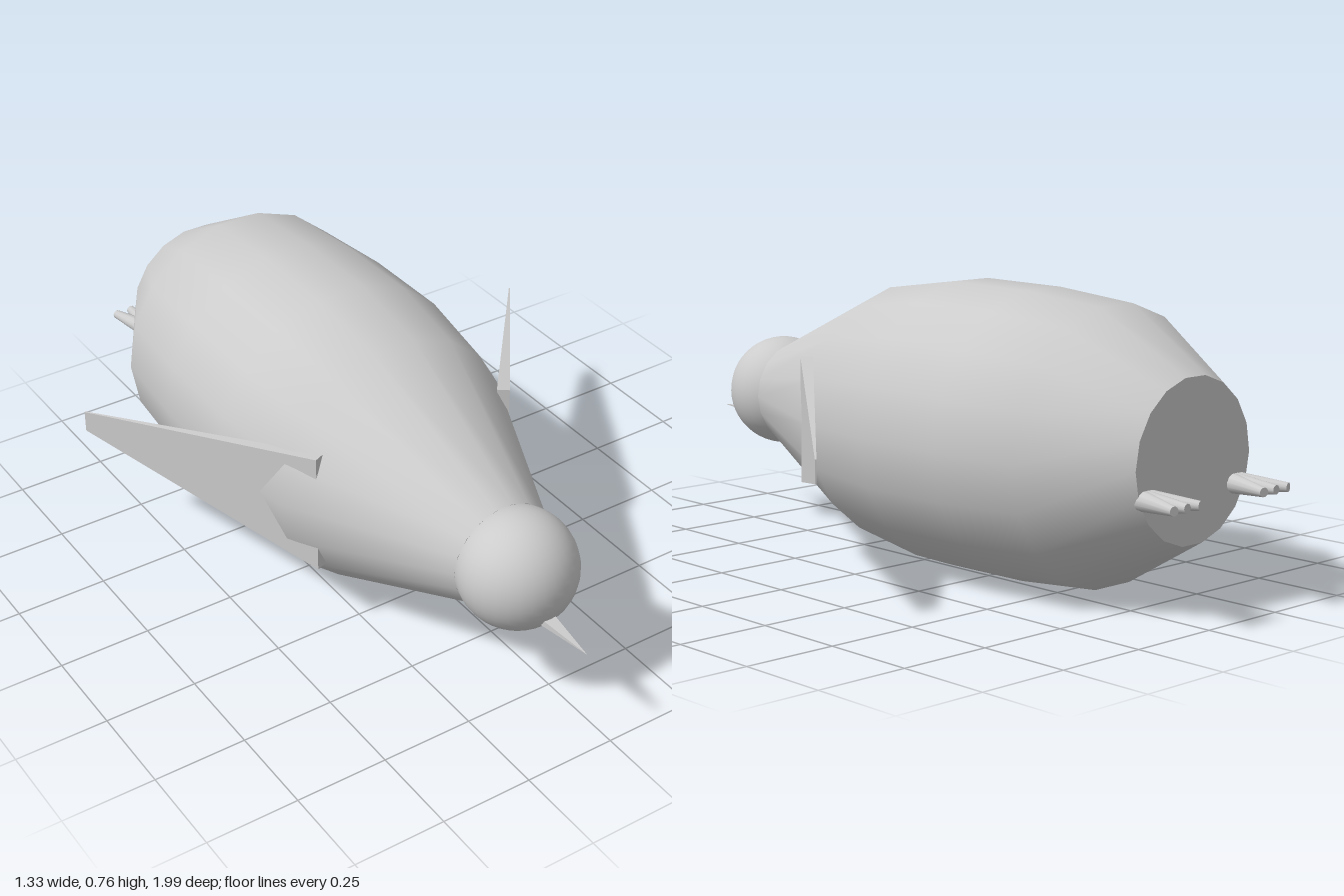
import * as THREE from 'three';

const CX = -0.08, CY = 0.388; // long axis of the body
const material = new THREE.MeshStandardMaterial({ color: 0xcccccc });
const flat = new THREE.MeshStandardMaterial({ color: 0xcccccc, flatShading: true });

function add(parent, name, geometry, mat = material) {
  const mesh = new THREE.Mesh(geometry, mat);
  mesh.name = name;
  parent.add(mesh);
  return mesh;
}

// Tapered slab along its own +x: a box squeezed towards the tip
function wingGeometry(length) {
  const g = new THREE.BoxGeometry(length, 1, 1).translate(length / 2, 0, 0);
  const p = g.attributes.position;
  for (let i = 0; i < p.count; i++) {
    const tip = p.getX(i) > length / 2;
    p.setY(i, p.getY(i) * (tip ? 0.06 : 0.345));
    p.setZ(i, p.getZ(i) * (tip ? 0.004 : 0.034));
  }
  return g;
}

// Round bar between two points
function barGeometry(a, b, ra, rb, sides) {
  const d = b.clone().sub(a);
  const g = new THREE.CylinderGeometry(rb, ra, d.length(), sides);
  const q = new THREE.Quaternion().setFromUnitVectors(new THREE.Vector3(0, 1, 0), d.normalize());
  return g.applyQuaternion(q).translate((a.x + b.x) / 2, (a.y + b.y) / 2, (a.z + b.z) / 2);
}

export function createModel() {
  const model = new THREE.Group();
  model.name = 'bird';

  // Body: 18-sided, lying along z, [radius, z] from tail to neck
  const profile = [[0.21, -0.875], [0.363, -0.615], [0.385, -0.36], [0.388, -0.09], [0.352, 0.16], [0.145, 0.64]]
    .map(([r, z]) => new THREE.Vector2(r, z));
  add(model, 'body', new THREE.LatheGeometry(profile, 18, Math.PI / 2).rotateX(Math.PI / 2))
    .position.set(CX, CY, 0);
  add(model, 'bodyEnd', new THREE.CircleGeometry(0.21, 18).rotateY(Math.PI))
    .position.set(CX, CY, -0.875);
  add(model, 'neckEnd', new THREE.CircleGeometry(0.145, 18))
    .position.set(CX, CY, 0.64);

  // Head
  add(model, 'head', new THREE.SphereGeometry(0.156, 32, 24)).position.set(CX, CY, 0.7);

  // Beak: slim four-sided spike
  const beak = new THREE.ConeGeometry(Math.SQRT1_2, 0.17, 4, 1).rotateY(Math.PI / 4)
    .rotateX(Math.PI / 2).scale(0.04, 0.02, 1);
  add(model, 'beak', beak, flat).position.set(CX, 0.31, 0.9);

  // Wings: [name, root x, root z, tip x, tip z], spread unequally
  for (const [name, x0, z0, x1, z1] of [
    ['leftWing', 0.2, 0.253, 0.664, -0.342],
    ['rightWing', -0.358, 0.243, -0.666, -0.453],
  ]) {
    const wing = add(model, name, wingGeometry(Math.hypot(x1 - x0, z1 - z0)), flat);
    wing.position.set(x0, 0.383, z0);
    wing.rotation.y = Math.atan2(z0 - z1, x1 - x0);
  }

  // Feet: three fanned toes each
  for (const side of [-1, 1]) {
    const foot = new THREE.Group();
    foot.name = side > 0 ? 'leftFoot' : 'rightFoot';
    foot.position.set(CX + side * 0.165, 0.313, 0);
    for (const t of [-1, 0, 1]) {
      add(foot, 'toe', barGeometry(
        new THREE.Vector3(t * 0.008, 0, -0.86), new THREE.Vector3(t * 0.047, 0, -0.998), 0.027, 0.012, 12));
    }
    model.add(foot);
  }
  return model;
}
